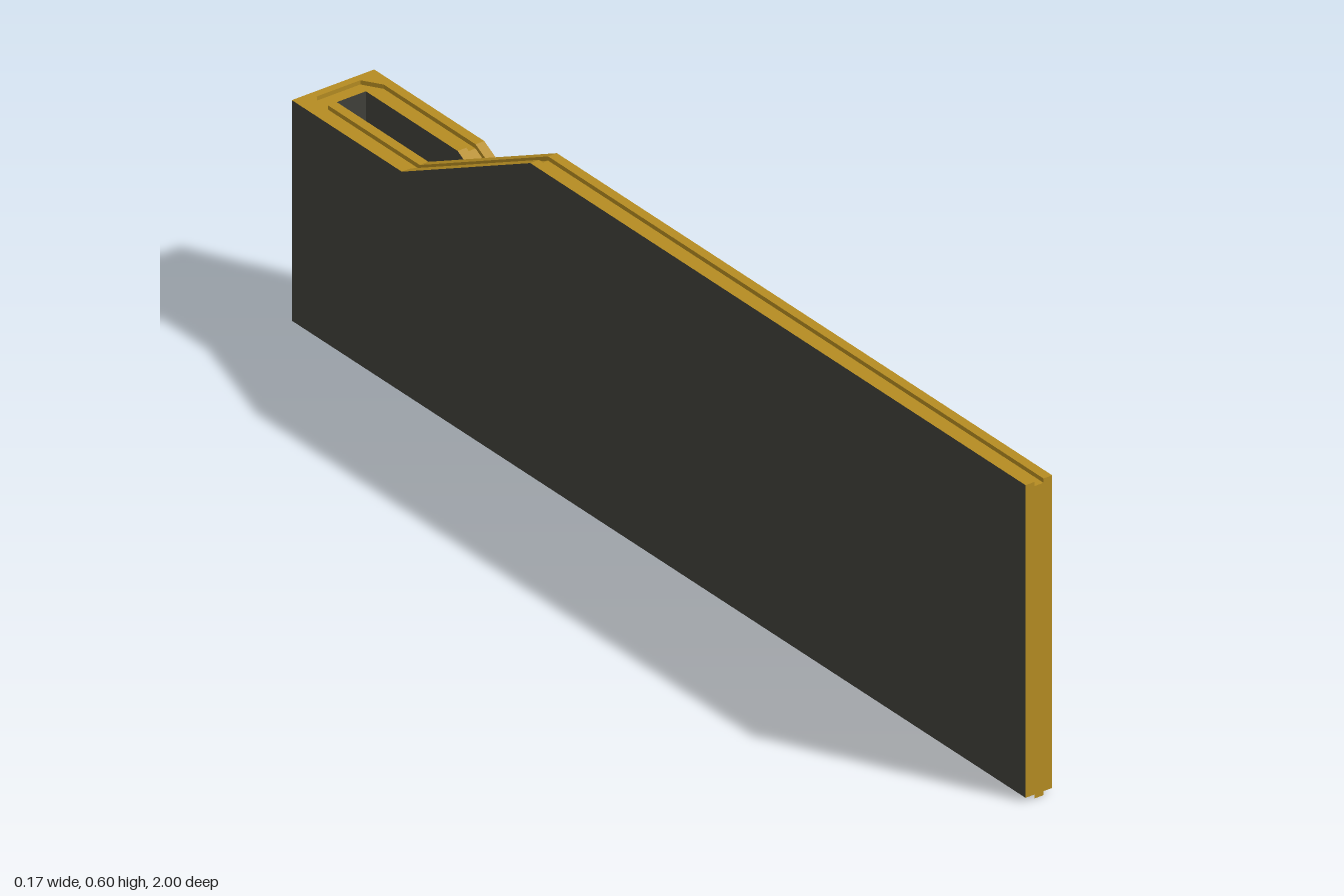
import * as THREE from 'three';

const BASE = 0.0075;   // underside of the wall
const DEPTH = 0.008;   // depth of the channel along the top

// Each station: height, then [x, z] of outer edge, channel outer, channel inner, inner edge
const straight = (side, z, h) => ({
  h, p: [0.085, 0.067, 0.048, 0.03].map((x) => [side * x, z]),
});
const corner = (side) => ({
  h: 0.424,
  p: [[side * 0.085, -1], [side * 0.045, -0.985], [side * 0.032, -0.967], [side * 0.03, -0.95]],
});

// Closed cross-section of a station, from outer bottom over the top to inner bottom
function section({ h, p }) {
  const [o, go, gi, i] = p;
  const at = ([x, z], y) => [x, y, z];
  return [at(o, BASE), at(o, h), at(go, h), at(go, h - DEPTH),
    at(gi, h - DEPTH), at(gi, h), at(i, h), at(i, BASE)];
}

// Sweeps the chosen strips of the cross-section along all stations
function sweep(rings, strips) {
  const pos = [];
  for (let s = 0; s < rings.length - 1; s++) {
    for (const k of strips) {
      const n = (k + 1) % 8;
      const a = rings[s][k], b = rings[s][n], c = rings[s + 1][n], d = rings[s + 1][k];
      pos.push(...a, ...b, ...c, ...a, ...c, ...d);
    }
  }
  const g = new THREE.BufferGeometry();
  g.setAttribute('position', new THREE.Float32BufferAttribute(pos, 3));
  g.computeVertexNormals();
  return g;
}

function plate(points, z) {
  const g = new THREE.ShapeGeometry(new THREE.Shape(points.map(([x, y]) => new THREE.Vector2(x, y))));
  return g.translate(0, 0, z);
}

export function createModel() {
  const charcoal = new THREE.MeshStandardMaterial({ color: 0x40403a, side: THREE.DoubleSide });
  charcoal.name = 'charcoal';
  const gold = new THREE.MeshStandardMaterial({ color: 0xb58c22, side: THREE.DoubleSide });
  gold.name = 'gold';

  const group = new THREE.Group();
  group.name = 'foldedWall';
  const add = (name, geometry, material) => {
    const mesh = new THREE.Mesh(geometry, material);
    mesh.name = name;
    group.add(mesh);
  };

  // Path: long tall wall, around the back, then the short sloping wall
  const rings = [
    straight(-1, 1, 0.598),
    straight(-1, -0.35, 0.598),
    straight(-1, -0.7, 0.424),
    straight(-1, -0.95, 0.424),
    corner(-1),
    corner(1),
    straight(1, -0.95, 0.424),
    straight(1, -0.7, 0.424),
    straight(1, -0.08, 0.088),
  ].map(section);

  // Dark sides and underside, gold channelled top
  add('wallSides', sweep(rings, [0, 6, 7]), charcoal);
  add('channelledTop', sweep(rings, [1, 2, 3, 4, 5]), gold);

  // Front end of the long wall, with a notch on top and a tongue below
  add('longWallEnd', plate([
    [-0.085, BASE], [-0.067, BASE], [-0.067, 0], [-0.048, 0], [-0.048, BASE], [-0.03, BASE],
    [-0.03, 0.598], [-0.048, 0.598], [-0.048, 0.59], [-0.067, 0.59], [-0.067, 0.598], [-0.085, 0.598],
  ], 1), gold);

  // Front end of the short wall
  add('shortWallEnd', plate([[0.03, BASE], [0.085, BASE], [0.085, 0.088], [0.03, 0.088]], -0.08), charcoal);

  return group;
}
